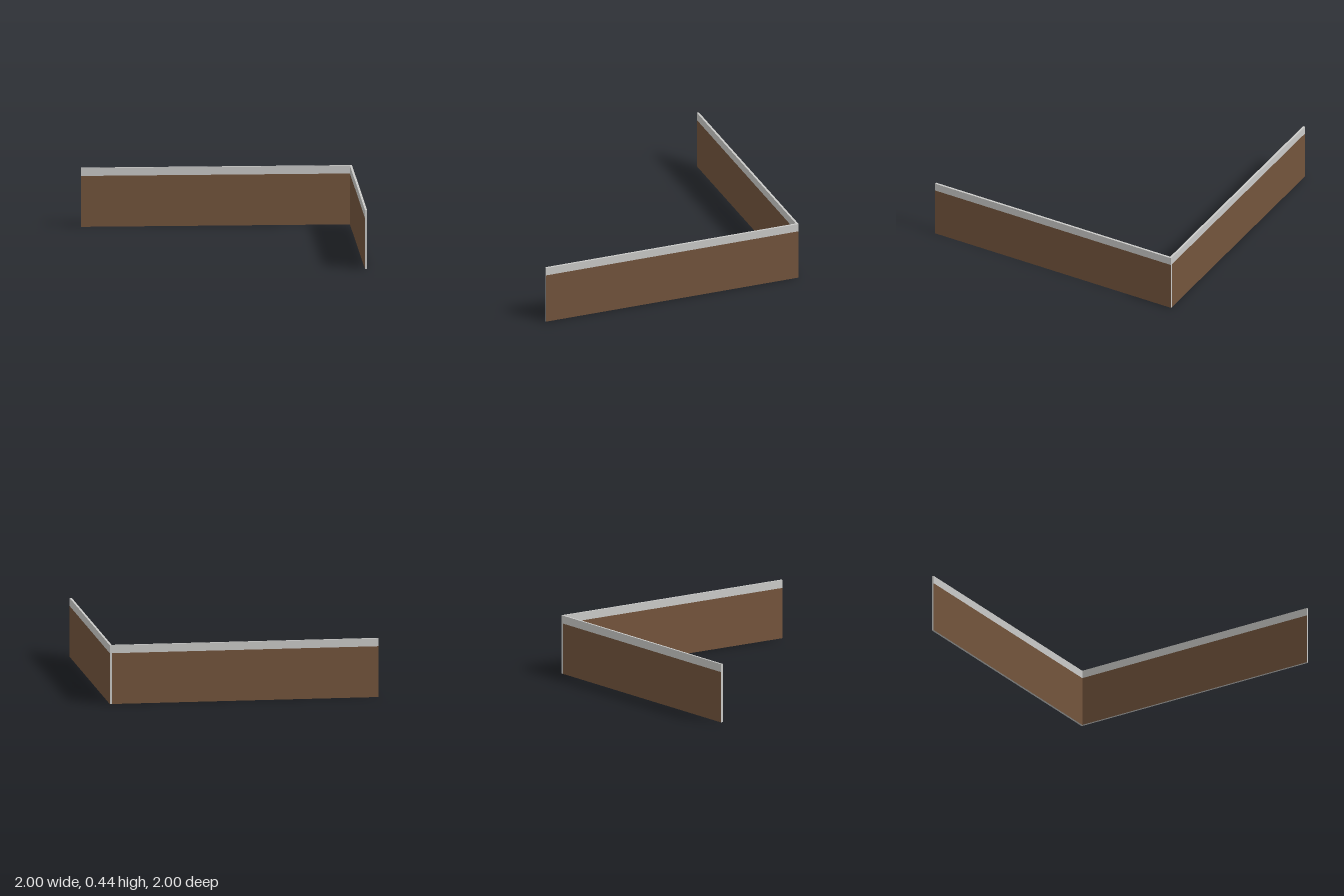
import * as THREE from 'three';

const T = 0.016;      // wall thickness
const PANEL_H = 0.38; // height of the brown board
const TOP = 0.44;     // overall height
const COUNT = 5;      // panels per wall

export function createModel() {
  const brown = new THREE.MeshStandardMaterial({ name: 'brown board', color: 0x73543c });
  const grey = new THREE.MeshStandardMaterial({ name: 'pale grey trim', color: 0xcacac8 });

  // A straight run of panels along +x from the origin, centred on z = 0
  function makeWall(name, length) {
    const wall = new THREE.Group();
    wall.name = name;
    const step = length / COUNT;
    for (let i = 0; i < COUNT; i++) {
      const x = (i + 0.5) * step;

      // Board: brown broad faces, grey edges
      const board = new THREE.Mesh(
        new THREE.BoxGeometry(step, PANEL_H, T),
        [grey, grey, grey, grey, brown, brown]
      );
      board.name = 'panelBoard';
      board.position.set(x, PANEL_H / 2, 0);

      // Grey band along the top
      const band = new THREE.Mesh(new THREE.BoxGeometry(step, TOP - PANEL_H, T), grey);
      band.name = 'topBand';
      band.position.set(x, (TOP + PANEL_H) / 2, 0);
      wall.add(board, band);
    }
    return wall;
  }

  const model = new THREE.Group();
  model.name = 'cornerWall';

  // Back wall butts against the inside of the side wall
  const back = makeWall('backWall', 2 - T);
  back.position.set(-1, 0, -1 + T / 2);

  // Side wall runs the full depth on the left
  const side = makeWall('sideWall', 2);
  side.rotation.y = -Math.PI / 2;
  side.position.set(1 - T / 2, 0, -1);

  model.add(back, side);
  return model;
}
